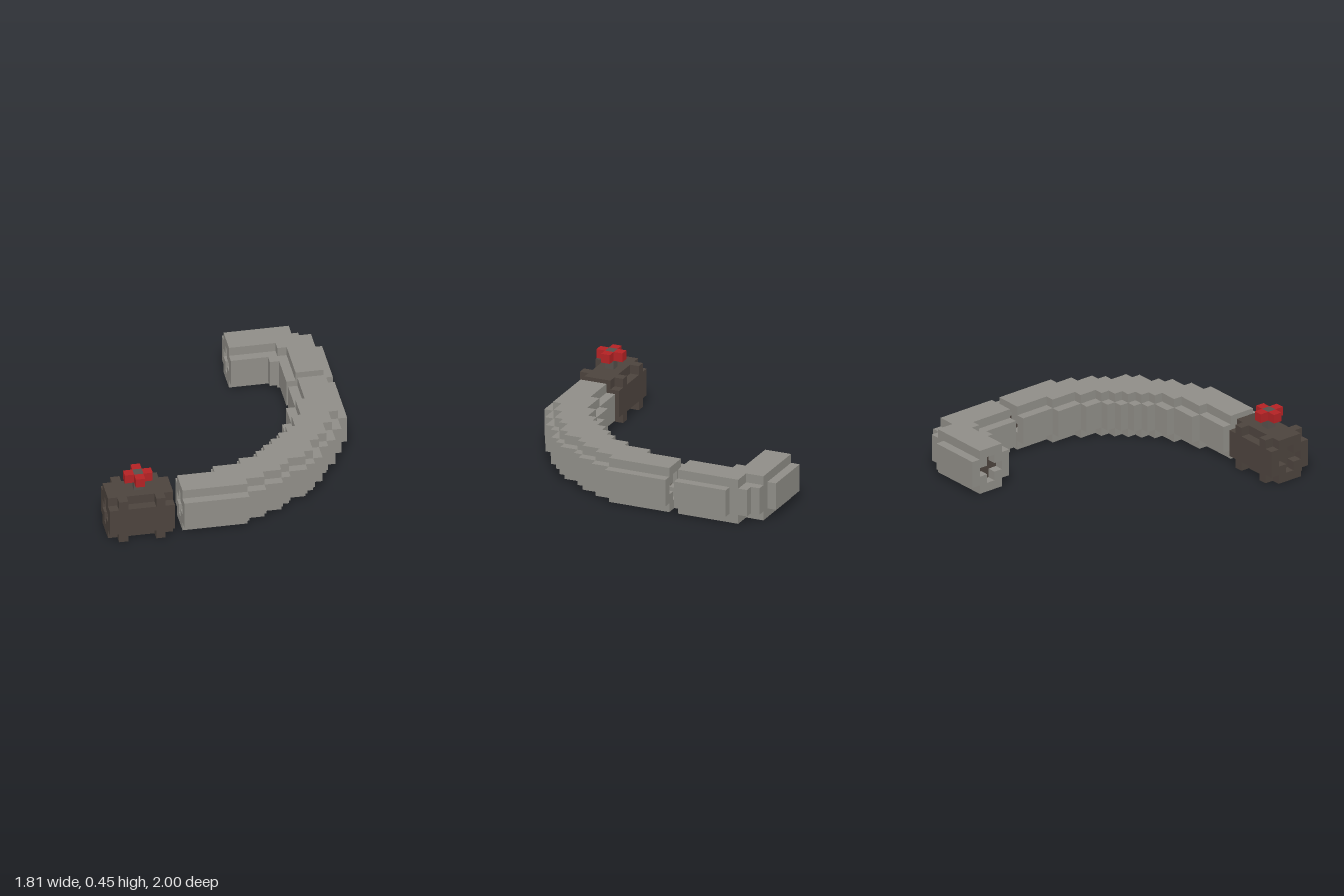
import * as THREE from 'three';
import { mergeGeometries } from 'three/addons/utils/BufferGeometryUtils.js';

const V = 2 / 31; // block size
const key = (x, y, z) => `${x},${y},${z}`;

export function createModel() {
  const group = new THREE.Group();
  group.name = 'pipeline';
  const mat = (name, color) => Object.assign(new THREE.MeshStandardMaterial({ color }), { name });
  const grey = mat('pipe grey', 0x8f8d87);
  const brown = mat('dark iron', 0x4c433d);
  const stemMat = mat('stem iron', 0x56504b);
  const red = mat('handle red', 0xb32224);

  // Block grid: each occupied cell belongs to one part
  const cells = new Map();
  const fill = (part, x0, x1, y0, y1, z0, z1) => {
    for (let x = x0; x < x1; x++)
      for (let y = y0; y < y1; y++)
        for (let z = z0; z < z1; z++) cells.set(key(x, y, z), { part, x, y, z });
  };

  // Long curved pipe: x range of each row, from the joint to the valve
  const first = 11;
  const lo = [23, 23, 23, 23, 22, 22, 22, 21, 21, 20, 19, 18, 17, 15, 12, 8, 8, 8, 8, 8];
  const hi = [28, 28, 28, 28, 28, 28, 28, 27, 27, 26, 26, 25, 24, 24, 23, 22, 20, 19, 17, 15];
  const inside = (x, z) => {
    const r = Math.max(z - first, 0); // open ends count as continuing
    return r < lo.length && x >= (lo[r] === 8 ? 7 : lo[r]) && x < hi[r];
  };
  lo.forEach((a, r) => {
    const z = first + r;
    fill('longPipe', a, hi[r], 1, 4, z, z + 1);
    for (let x = a; x < hi[r]; x++) {
      if (inside(x - 1, z) && inside(x + 1, z) && inside(x, z - 1) && inside(x, z + 1)) {
        fill('longPipe', x, x + 1, 0, 5, z, z + 1);
      }
    }
  });

  // Elbow pipe: [z0, z1, x0, x1] for the middle and for the top and bottom layers
  const elbowMiddle = [[0, 1, 18, 24], [1, 2, 18, 26], [2, 4, 18, 27], [4, 5, 18, 28], [5, 6, 22, 28], [6, 10, 23, 28]];
  const elbowOuter = [[1, 3, 18, 25], [3, 4, 18, 27], [4, 5, 23, 27], [5, 10, 24, 27]];
  elbowMiddle.forEach(([z0, z1, x0, x1]) => fill('elbowPipe', x0, x1, 1, 4, z0, z1));
  elbowOuter.forEach(([z0, z1, x0, x1]) => fill('elbowPipe', x0, x1, 0, 5, z0, z1));

  // Valve body with two square flanges
  fill('valveBody', 0, 7, 1, 4, 26, 31);
  fill('valveBody', 0, 7, 0, 5, 27, 30);
  for (const x of [1, 5]) fill('valveBody', x, x + 1, 0, 5, 26, 31);

  // Valve stem and cross handle
  fill('valveHandle', 2, 5, 6, 7, 28, 29);
  fill('valveHandle', 3, 4, 6, 7, 27, 30);
  fill('valveStem', 3, 4, 5, 7, 28, 29);

  // Cross-shaped recess in every open end, with a dark floor
  const plus = [[0, 0], [1, 0], [-1, 0], [0, 1], [0, -1]];
  const ends = [[8, 28, 1, 0], [25, 11, 0, 1], [25, 9, 0, -1], [18, 2, 1, 0], [0, 28, 1, 0], [6, 28, -1, 0]];
  for (const [x, z, dx, dz] of ends) {
    for (const [s, h] of plus) {
      const cx = x + Math.abs(dz) * s, cz = z + Math.abs(dx) * s;
      cells.delete(key(cx, 2 + h, cz));
      const floor = cells.get(key(cx + dx, 2 + h, cz + dz));
      if (floor && floor.part !== 'valveBody') floor.part = 'pipeCore';
    }
  }

  // Six block faces: outward direction and the turn that points a plane that way
  const q = Math.PI / 2;
  const sides = [
    [1, 0, 0, 0, q], [-1, 0, 0, 0, -q], [0, 1, 0, -q, 0],
    [0, -1, 0, q, 0], [0, 0, 1, 0, 0], [0, 0, -1, 0, 2 * q],
  ];

  // Skin each part with the faces that are exposed
  const parts = {
    longPipe: grey, elbowPipe: grey, pipeCore: brown,
    valveBody: brown, valveStem: stemMat, valveHandle: red,
  };
  for (const [name, material] of Object.entries(parts)) {
    const faces = [];
    for (const { part, x, y, z } of cells.values()) {
      if (part !== name) continue;
      for (const [dx, dy, dz, rx, ry] of sides) {
        if (cells.has(key(x + dx, y + dy, z + dz))) continue;
        faces.push(new THREE.PlaneGeometry(V, V).rotateX(rx).rotateY(ry).translate(
          (x + 0.5 + dx / 2 - 14) * V, (y + 0.5 + dy / 2) * V, (z + 0.5 + dz / 2 - 15.5) * V));
      }
    }
    if (!faces.length) continue;
    const mesh = new THREE.Mesh(mergeGeometries(faces), material);
    mesh.name = name;
    group.add(mesh);
  }
  return group;
}
